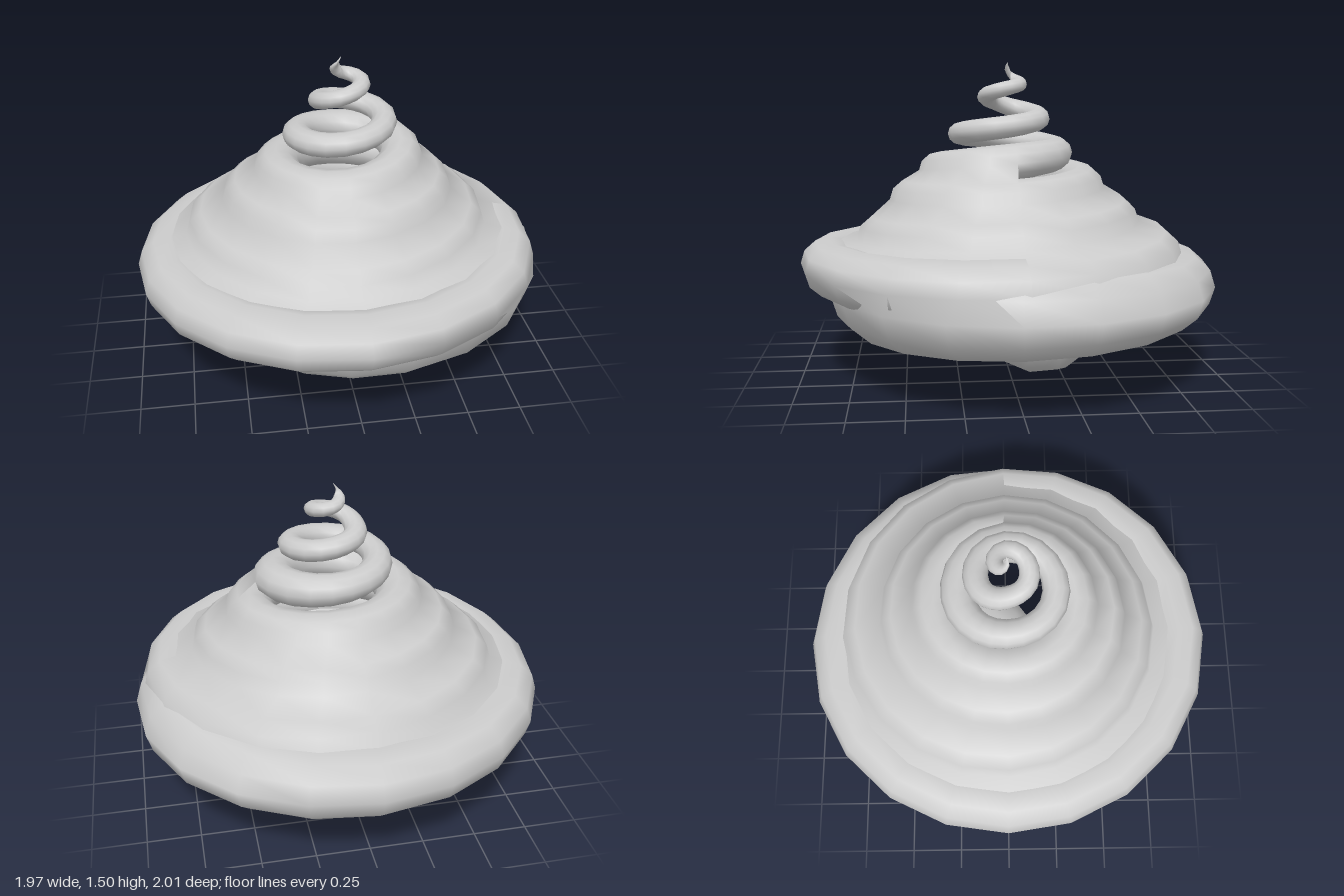
import * as THREE from 'three';

// One row per quarter turn, bottom to top: distance from axis, height, thickness
const QUARTERS = [
  [0.17, 0.27, 0.27], [0.33, 0.335, 0.25], [0.57, 0.43, 0.24], [0.77, 0.45, 0.195],
  [0.825, 0.45, 0.155], [0.82, 0.49, 0.14], [0.86, 0.54, 0.125], [0.79, 0.555, 0.135],
  [0.67, 0.6, 0.135], [0.59, 0.64, 0.13], [0.59, 0.655, 0.125], [0.57, 0.71, 0.12],
  [0.49, 0.76, 0.115], [0.43, 0.81, 0.11], [0.45, 0.845, 0.105], [0.42, 0.88, 0.1],
  [0.34, 0.92, 0.1], [0.29, 0.955, 0.095], [0.325, 0.985, 0.09], [0.295, 1.045, 0.085],
  [0.22, 1.08, 0.07], [0.19, 1.125, 0.06], [0.225, 1.16, 0.055], [0.215, 1.205, 0.052],
  [0.13, 1.25, 0.05], [0.08, 1.29, 0.045], [0.1, 1.335, 0.04], [0.11, 1.38, 0.035],
  [0.03, 1.42, 0.028], [-0.02, 1.5, 0],
];
const SIDES = 12;
const STEPS = 5; // rings per quarter turn
const WIDEN = 1.15; // sections are a little wider than tall
const START = -0.4; // the bottom end curls in slightly past the first row
const CAP = 5; // rings of the rounded bottom end

const table = new THREE.CatmullRomCurve3(
  QUARTERS.map((q) => new THREE.Vector3(...q)), false, 'catmullrom', 0.5);
const last = QUARTERS.length - 1;

// Centre of the coil and its thickness, q quarter turns from the first row
function coilAt(q) {
  const s = table.getPoint(THREE.MathUtils.clamp(q / last, 0, 1));
  const angle = -Math.PI + q * Math.PI / 2;
  return {
    centre: new THREE.Vector3(s.x * Math.sin(angle), s.y, s.x * Math.cos(angle)),
    radius: Math.max(s.z, 0),
  };
}

function coilGeometry() {
  const positions = [];
  const index = [];
  let rings = 0;

  const vertex = (ring, k) => ring * SIDES + k % SIDES;

  function addQuad(a, a2, b, b2) {
    index.push(a, a2, b, b, a2, b2);
  }

  function addRing(centre, outward, radius) {
    for (let k = 0; k < SIDES; k++) {
      const a = k / SIDES * Math.PI * 2;
      const side = Math.cos(a) * radius * WIDEN;
      positions.push(
        centre.x + outward.x * side,
        centre.y + Math.sin(a) * radius,
        centre.z + outward.z * side);
    }
    for (let k = 0; rings > 0 && k < SIDES; k++) {
      addQuad(vertex(rings - 1, k), vertex(rings, k),
        vertex(rings - 1, k + 1), vertex(rings, k + 1));
    }
    rings++;
  }

  const steps = Math.round((last - START) * STEPS);
  for (let i = 0; i <= steps; i++) {
    const q = START + i / STEPS;
    const { centre, radius } = coilAt(q);
    const along = coilAt(Math.min(q + 0.05, last)).centre
      .sub(coilAt(Math.max(q - 0.05, START)).centre).setY(0).normalize();
    const outward = new THREE.Vector3(-along.z, 0, along.x);
    // Rounded bottom end
    for (let j = 0; i === 0 && j < CAP; j++) {
      const phi = j / CAP * Math.PI / 2;
      const end = centre.clone().addScaledVector(along, -0.26 * Math.cos(phi));
      addRing(end, outward, radius * Math.sin(phi));
    }
    addRing(centre, outward, radius);
  }

  // Skin filling the groove between each turn and the one above it
  function bridge(from, to, lowerSide, upperSide) {
    const first = CAP + Math.round((from - START) * STEPS);
    const end = CAP + Math.round((to - START) * STEPS);
    for (let ring = first; ring < end; ring++) {
      const above = ring + 4 * STEPS;
      addQuad(vertex(ring, lowerSide), vertex(ring + 1, lowerSide),
        vertex(above, upperSide), vertex(above + 1, upperSide));
    }
  }
  bridge(2.2, 3.6, 0, 0);
  bridge(3.6, 15, 2, 0);

  const geometry = new THREE.BufferGeometry();
  geometry.setAttribute('position', new THREE.Float32BufferAttribute(positions, 3));
  geometry.setIndex(index);
  geometry.computeVertexNormals();
  return geometry;
}

export function createModel() {
  const group = new THREE.Group();
  group.name = 'swirl';
  const material = new THREE.MeshStandardMaterial({ color: 0xcccccc, side: THREE.DoubleSide });
  const coil = new THREE.Mesh(coilGeometry(), material);
  coil.name = 'taperedCoil';
  group.add(coil);
  return group;
}
